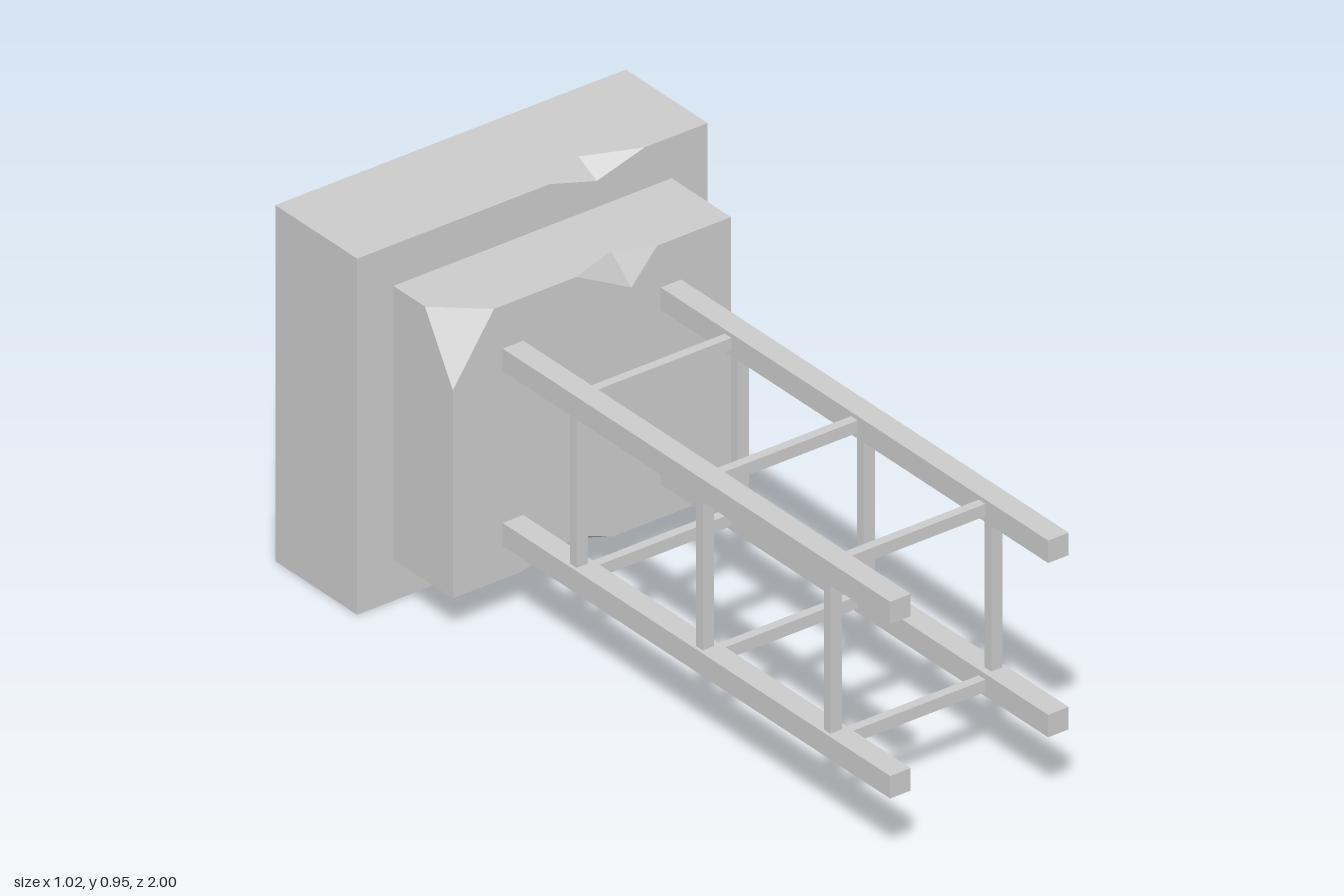
import * as THREE from 'three';

const material = new THREE.MeshStandardMaterial({ color: 0xcccccc, flatShading: true });

// Solid from flat polygons, each triangulated and turned away from the given centre
function facetedSolid(name, centre, polygons) {
  const mid = new THREE.Vector3(...centre);
  const positions = [];
  for (const polygon of polygons) {
    const pts = polygon.map((p) => new THREE.Vector3(...p));
    const normal = new THREE.Vector3();
    pts.forEach((p, i) => normal.add(p.clone().cross(pts[(i + 1) % pts.length])));
    const n = normal.toArray().map(Math.abs);
    const drop = n.indexOf(Math.max(...n));
    const flat = polygon.map((p) => new THREE.Vector2(...p.filter((_, axis) => axis !== drop)));
    for (const tri of THREE.ShapeUtils.triangulateShape(flat, [])) {
      const [a, b, c] = tri.map((i) => pts[i]);
      const facing = b.clone().sub(a).cross(c.clone().sub(a)).dot(a.clone().sub(mid));
      for (const p of facing > 0 ? [a, b, c] : [a, c, b]) positions.push(p.x, p.y, p.z);
    }
  }
  const geometry = new THREE.BufferGeometry();
  geometry.setAttribute('position', new THREE.Float32BufferAttribute(positions, 3));
  geometry.computeVertexNormals();
  const mesh = new THREE.Mesh(geometry, material);
  mesh.name = name;
  return mesh;
}

// Two facets of a notch broken out of an edge
const notch = ([start, tip, end, inner]) => [[start, tip, inner], [tip, end, inner]];

function box(name, size, position) {
  const mesh = new THREE.Mesh(new THREE.BoxGeometry(...size), material);
  mesh.position.set(...position);
  mesh.name = name;
  return mesh;
}

// Large slab with one notch in its top front edge
function baseSlab() {
  const x = 0.51, top = 0.95, front = -0.69, back = -1;
  const chip = [[0.05, top, front], [0.187, 0.91, front], [0.327, top, front], [0.18, top, -0.75]];
  const [start, tip, end, inner] = chip;
  return facetedSolid('baseSlab', [0, 0.475, -0.845], [
    [[-x, 0, front], [x, 0, front], [x, top, front], end, tip, start, [-x, top, front]],
    [[-x, top, front], start, inner, end, [x, top, front], [x, top, back], [-x, top, back]],
    [[-x, 0, front], [x, 0, front], [x, 0, back], [-x, 0, back]],
    [[-x, 0, back], [x, 0, back], [x, top, back], [-x, top, back]],
    ...[-x, x].map((s) => [[s, 0, front], [s, 0, back], [s, top, back], [s, top, front]]),
    ...notch(chip),
  ]);
}

// Smaller slab with notches above and below and two broken corners
function upperSlab() {
  const x = 0.405, low = 0.11, top = 0.84, front = -0.465, back = -0.69;
  const topChip = [[-0.045, top, front], [0.115, 0.755, front], [0.19, top, front], [0.09, top, -0.51]];
  const lowChip = [[-0.21, low, front], [-0.04, 0.148, front], [0.06, low, front], [-0.03, low, -0.525]];
  const topCorner = [[-x, 0.665, front], [-0.285, top, front], [-x, top, -0.57]];
  const lowCorner = [[0.34, low, front], [x, 0.167, front], [x, low, -0.525]];
  const [t0, t1, t2, t3] = topChip;
  const [l0, l1, l2, l3] = lowChip;
  return facetedSolid('upperSlab', [0, 0.475, -0.6], [
    [[-x, low, front], l0, l1, l2, lowCorner[0], lowCorner[1], [x, top, front],
      t2, t1, t0, topCorner[1], topCorner[0]],
    [topCorner[2], topCorner[1], t0, t3, t2, [x, top, front], [x, top, back], [-x, top, back]],
    [[-x, low, front], l0, l3, l2, lowCorner[0], lowCorner[2], [x, low, back], [-x, low, back]],
    [[-x, low, back], [x, low, back], [x, top, back], [-x, top, back]],
    [[-x, low, front], topCorner[0], topCorner[2], [-x, top, back], [-x, low, back]],
    [lowCorner[2], lowCorner[1], [x, top, front], [x, top, back], [x, low, back]],
    topCorner, lowCorner, ...notch(topChip), ...notch(lowChip),
  ]);
}

// Four long rails tied together by square frames of thin bars
function railFrame() {
  const frame = new THREE.Group();
  frame.name = 'railFrame';
  const railX = 0.23, lowY = 0.23, highY = 0.695, midY = (lowY + highY) / 2;
  for (const side of [-1, 1]) {
    for (const y of [lowY, highY]) {
      frame.add(box('rail', [0.06, 0.06, 1.465], [side * railX, y, 0.2675]));
    }
  }
  for (const z of [-0.21, 0.267, 0.75]) {
    for (const y of [0.228, 0.697]) frame.add(box('crossBar', [0.41, 0.033, 0.025], [0, y, z]));
    for (const side of [-1, 1]) {
      frame.add(box('uprightBar', [0.033, 0.41, 0.025], [side * 0.234, midY, z]));
    }
  }
  return frame;
}

export function createModel() {
  const model = new THREE.Group();
  model.name = 'pedestalWithRails';
  model.add(baseSlab(), upperSlab(), railFrame());
  return model;
}
